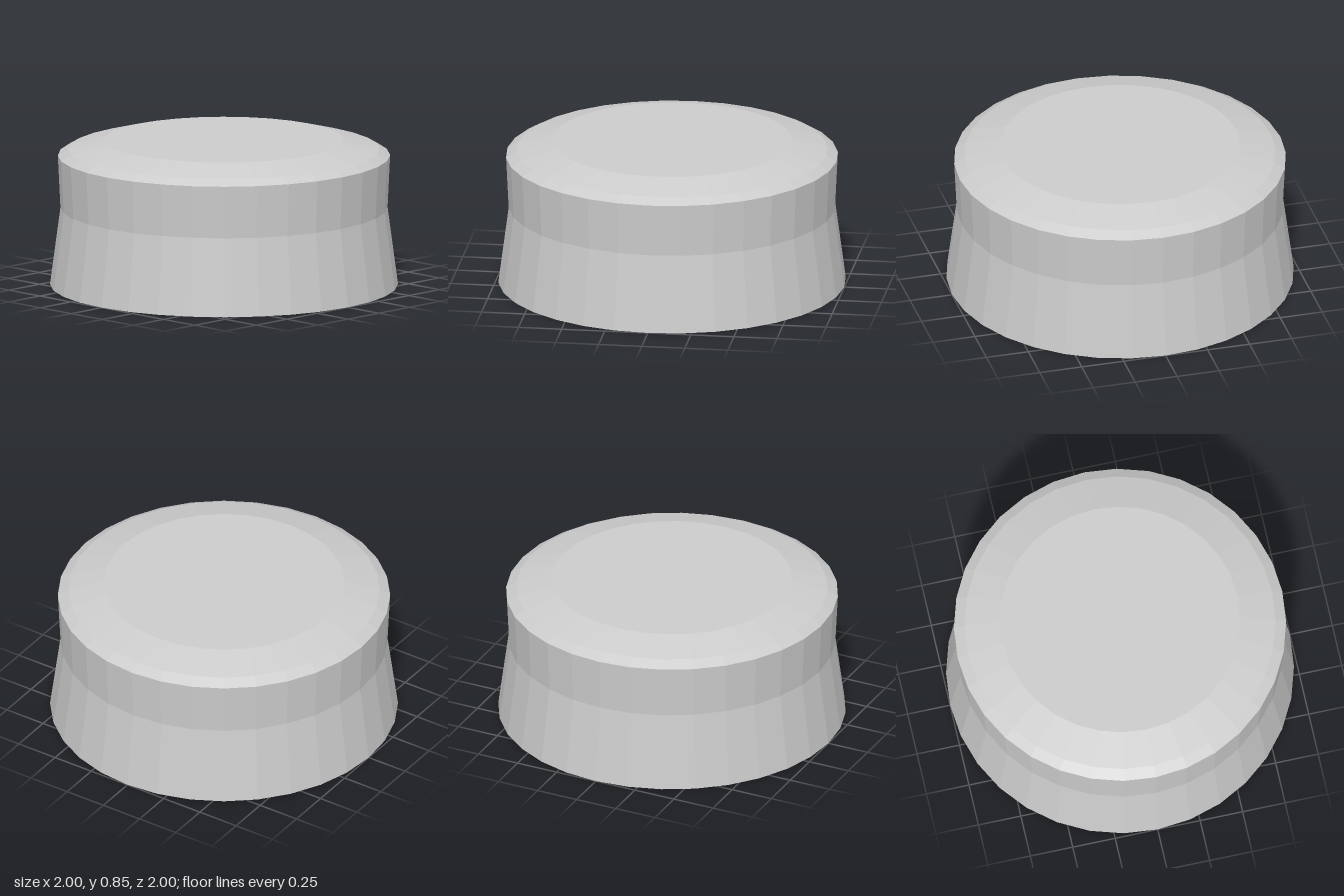
import * as THREE from 'three';

export function createModel() {
  const group = new THREE.Group();
  const material = new THREE.MeshStandardMaterial({ color: 0xcccccc, flatShading: true });

  // Closed half-profile (radius, height): base, waist, rim, bevel, flat top
  const profile = [
    [0, 0], [1, 0], [0.94, 0.45], [0.955, 0.755], [0.895, 0.79], [0.69, 0.845], [0, 0.845],
  ].map(([r, y]) => new THREE.Vector2(r, y));

  // Low-poly round body with 32 sides
  const body = new THREE.Mesh(new THREE.LatheGeometry(profile, 32), material);
  body.name = 'roundCapBody';
  group.add(body);
  return group;
}
